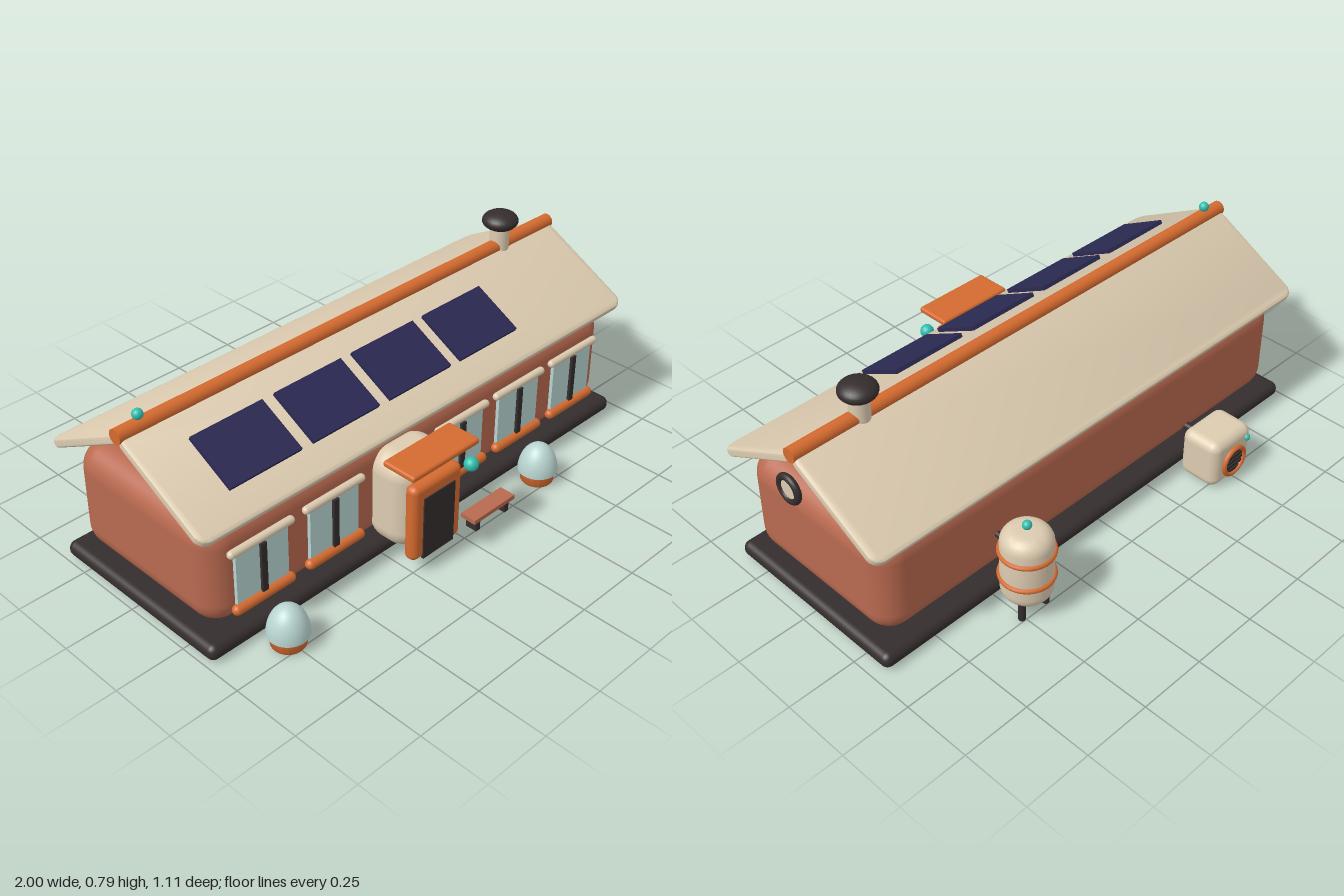
import * as THREE from 'three';
import { RoundedBoxGeometry } from 'three/addons/geometries/RoundedBoxGeometry.js';
import { toCreasedNormals } from 'three/addons/utils/BufferGeometryUtils.js';

const paint = (name, color) => {
  const m = new THREE.MeshStandardMaterial({ color });
  m.name = name;
  return m;
};

export function createModel() {
  const clay = paint('terracotta', 0xb8694f);
  const cream = paint('cream', 0xdccbb0);
  const orange = paint('orange', 0xd46a2f);
  const dark = paint('charcoal', 0x352d2d);
  const navy = paint('solar navy', 0x2b2952);
  const glass = paint('pale glass', 0xb9d5d1);
  const teal = paint('teal', 0x2fbfae);

  const root = new THREE.Group();
  root.name = 'longHouse';
  const MID = 0.007; // z of the ridge line
  const SLOPE = 0.494; // roof pitch

  const add = (parent, name, geo, mat, x = 0, y = 0, z = 0) => {
    const m = new THREE.Mesh(geo, mat);
    m.name = name;
    m.position.set(x, y, z);
    parent.add(m);
    return m;
  };
  const group = (name, x = 0, y = 0, z = 0) => {
    const g = new THREE.Group();
    g.name = name;
    g.position.set(x, y, z);
    root.add(g);
    return g;
  };
  const rbox = (w, h, d, r, s = 5) => new RoundedBoxGeometry(w, h, d, s, r);
  const box = (w, h, d) => new THREE.BoxGeometry(w, h, d);
  const ball = (r) => new THREE.SphereGeometry(r, 24, 16);
  const cyl = (r, h, r2 = r) => new THREE.CylinderGeometry(r, r2, h, 32);
  // Round bar along x with domed ends
  const bar = (len, r) => new THREE.CapsuleGeometry(r, len - 2 * r, 6, 16).rotateZ(Math.PI / 2);
  // Lathe profile from [radius, y] pairs
  const lathe = (pts) => toCreasedNormals(
    new THREE.LatheGeometry(pts.map(([r, y]) => new THREE.Vector2(r, y)), 40), 0.7);

  // Flat slab with rounded plan corners and softened edges
  const slab = (w, h, d, r, b) => {
    const x = w / 2 - b, y = d / 2 - b;
    const s = new THREE.Shape();
    s.moveTo(-x + r, -y);
    s.lineTo(x - r, -y).absarc(x - r, -y + r, r, -Math.PI / 2, 0);
    s.lineTo(x, y - r).absarc(x - r, y - r, r, 0, Math.PI / 2);
    s.lineTo(-x + r, y).absarc(-x + r, y - r, r, Math.PI / 2, Math.PI);
    s.lineTo(-x, -y + r).absarc(-x + r, -y + r, r, Math.PI, Math.PI * 1.5);
    const g = new THREE.ExtrudeGeometry(s, {
      depth: h - 2 * b, bevelEnabled: true, bevelSize: b, bevelThickness: b, bevelSegments: 4, curveSegments: 6,
    });
    return toCreasedNormals(g.translate(0, 0, b - h / 2).rotateX(-Math.PI / 2), 0.6);
  };

  // Base and main body
  add(root, 'base', rbox(1.947, 0.057, 0.735, 0.027), dark, -0.013, 0.031, MID);
  add(root, 'body', rbox(1.871, 0.394, 0.664, 0.09, 8), clay, -0.013, 0.26, MID);

  // Open gable roof
  for (const side of [1, -1]) {
    const s = add(root, side > 0 ? 'frontRoof' : 'backRoof', slab(1.967, 0.034, 0.425, 0.03, 0.012), cream,
      -0.013, 0.552, MID + side * 0.178);
    s.rotation.x = side * SLOPE;
  }
  add(root, 'ridgeBar', cyl(0.026, 1.972).rotateZ(Math.PI / 2), orange, -0.014, 0.66, MID);
  add(root, 'ridgeLamp', ball(0.018), teal, -0.913, 0.7, MID);

  // Solar panels
  for (let i = 0; i < 4; i++) {
    const p = add(root, 'solarPanel', box(0.283, 0.014, 0.2), navy, -0.679 + i * 0.332, 0.579, 0.211);
    p.rotation.x = SLOPE;
  }

  // Chimney
  add(root, 'chimney', cyl(0.035, 0.11), cream, 0.702, 0.69, MID);
  add(root, 'chimneyCap', ball(0.065), dark, 0.702, 0.756, MID).scale.y = 0.53;

  // Gable porthole
  const port = group('porthole', 0.985, 0.54, MID);
  add(port, 'portholeRing', new THREE.TorusGeometry(0.043, 0.012, 12, 40).rotateY(Math.PI / 2), dark);
  add(port, 'portholePane', cyl(0.036, 0.009).rotateZ(Math.PI / 2), cream);

  // Front windows
  for (const x of [-0.755, -0.455, 0.137, 0.43, 0.725]) {
    const w = group('window', x, 0, 0.35);
    add(w, 'pane', box(0.208, 0.19, 0.024), glass, 0, 0.24, -0.01);
    add(w, 'mullion', box(0.022, 0.185, 0.024), dark, 0, 0.24, 0);
    add(w, 'lintel', bar(0.262, 0.014), cream, 0, 0.349, 0);
    add(w, 'sill', bar(0.25, 0.018), orange, 0, 0.134, 0.003);
  }

  // Entrance porch
  const porch = group('porch', -0.161);
  add(porch, 'vestibule', rbox(0.242, 0.347, 0.19, 0.075, 8), cream, 0, 0.238, 0.39);
  add(porch, 'doorFrame', rbox(0.225, 0.288, 0.05, 0.022), orange, 0, 0.205, 0.497);
  add(porch, 'door', box(0.143, 0.237, 0.009), dark, 0, 0.182, 0.522);
  add(porch, 'canopy', rbox(0.306, 0.022, 0.132, 0.009), orange, 0, 0.426, 0.485);
  add(porch, 'porchLamp', ball(0.025), teal, 0.138, 0.334, 0.532);

  // Domed planters
  for (const x of [-0.755, 0.43]) {
    const p = group('planter', x, 0, 0.457);
    add(p, 'pot', lathe([[0, 0], [0.054, 0], [0.058, 0.006], [0.06, 0.045], [0, 0.045]]), orange);
    add(p, 'dome', new THREE.SphereGeometry(0.07, 32, 12, 0, Math.PI * 2, 0, Math.PI / 2), glass, 0, 0.044).scale.y = 1.5;
    add(p, 'domeBottom', new THREE.CircleGeometry(0.07, 32).rotateX(Math.PI / 2), glass, 0, 0.044);
  }

  // Bench
  const bench = group('bench', 0.137, 0, 0.481);
  add(bench, 'benchSeat', box(0.204, 0.016, 0.062), clay, 0, 0.051, 0);
  for (const s of [-1, 1]) add(bench, 'benchLeg', box(0.02, 0.044, 0.045), dark, s * 0.073, 0.022, 0);

  // Water tank behind the house
  const tank = group('waterTank', 0.455, 0, -0.457);
  const profile = [[0, 0.055]];
  for (let i = 0; i <= 6; i++) {
    const a = (i / 6) * Math.PI / 2;
    profile.push([0.038 + 0.05 * Math.sin(a), 0.105 - 0.05 * Math.cos(a)]);
  }
  for (let i = 0; i <= 6; i++) {
    const a = (i / 6) * Math.PI / 2;
    profile.push([0.038 + 0.05 * Math.cos(a), 0.283 + 0.05 * Math.sin(a)]);
  }
  profile.push([0, 0.333]);
  add(tank, 'tankShell', lathe(profile), cream);
  for (const y of [0.151, 0.25])
    add(tank, 'tankHoop', new THREE.TorusGeometry(0.088, 0.009, 10, 40).rotateX(Math.PI / 2), orange, 0, y);
  for (let i = 0; i < 3; i++) {
    const a = (i * Math.PI * 2) / 3;
    add(tank, 'tankLeg', cyl(0.012, 0.075), dark, 0.062 * Math.sin(a), 0.0375, 0.062 * Math.cos(a));
  }
  add(tank, 'tankLamp', ball(0.016), teal, 0, 0.35);
  add(tank, 'tankPipe', cyl(0.011, 0.1).rotateX(Math.PI / 2), dark, 0, 0.224, 0.11);

  // Ventilation unit behind the house
  const unit = group('ventUnit', -0.483, 0.1, -0.457);
  add(unit, 'unitCase', rbox(0.204, 0.19, 0.157, 0.035), cream);
  add(unit, 'unitPipe', cyl(0.014, 0.1).rotateX(Math.PI / 2), dark, 0, 0.02, 0.11);
  add(unit, 'ventRing', new THREE.TorusGeometry(0.053, 0.009, 10, 40), orange, 0, -0.012, -0.084);
  for (let i = -2; i <= 2; i++) {
    const y = i * 0.019;
    add(unit, 'ventSlat', box(2 * Math.sqrt(0.05 ** 2 - y * y), 0.011, 0.009), dark, 0, y - 0.012, -0.081);
  }
  add(unit, 'unitLamp', ball(0.013), teal, -0.07, 0.05, -0.077);

  return root;
}
